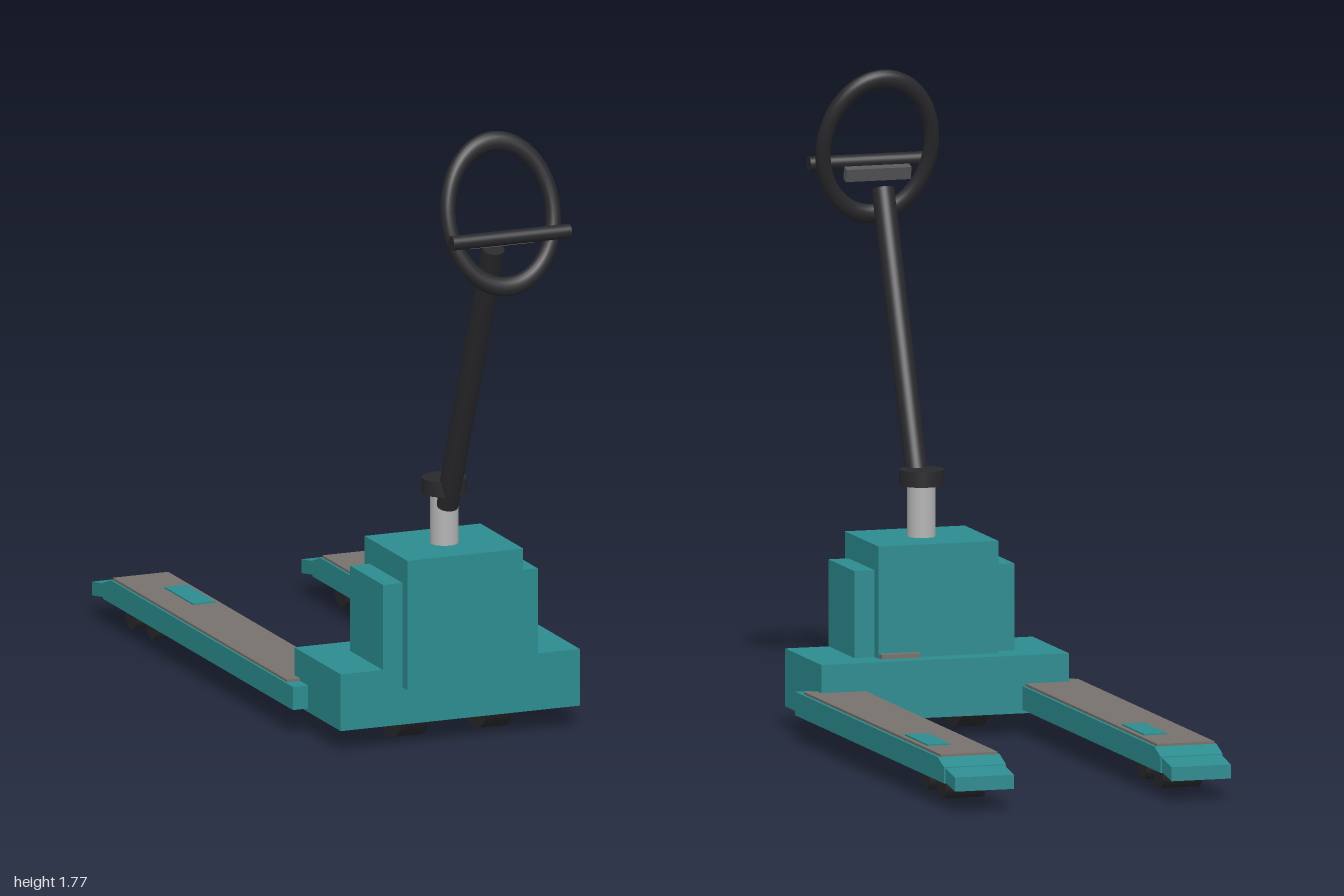
import * as THREE from 'three';

const paint = (color) => new THREE.MeshStandardMaterial({ color });
const TEAL = paint(0x2c8c8f), BLACK = paint(0x29292d), TREAD = paint(0x77726c);
const STEEL = paint(0xb4b4b4), DARK_GREY = paint(0x58585c);

export function createModel() {
  const model = new THREE.Group();
  model.name = 'palletTruck';

  const add = (name, geometry, material, parent = model) => {
    const mesh = new THREE.Mesh(geometry, material);
    mesh.name = name;
    parent.add(mesh);
    return mesh;
  };
  // Box given by its limits on each axis
  const box = (name, [x0, x1], [y0, y1], [z0, z1], material, parent) => {
    const mesh = add(name, new THREE.BoxGeometry(x1 - x0, y1 - y0, z1 - z0), material, parent);
    mesh.position.set((x0 + x1) / 2, (y0 + y1) / 2, (z0 + z1) / 2);
    return mesh;
  };
  // Cylinder between two points
  const rod = (name, a, b, radius, material, parent) => {
    const from = new THREE.Vector3(...a), to = new THREE.Vector3(...b);
    const axis = to.clone().sub(from);
    const mesh = add(name, new THREE.CylinderGeometry(radius, radius, axis.length(), 32), material, parent);
    mesh.position.copy(from).add(to).multiplyScalar(0.5);
    mesh.quaternion.setFromUnitVectors(new THREE.Vector3(0, 1, 0), axis.normalize());
    return mesh;
  };
  // Side outline of [z, y] points, extruded across x
  const slab = (name, outline, width, parent) => {
    const shape = new THREE.Shape(outline.map(([z, y]) => new THREE.Vector2(-z, y)));
    const geometry = new THREE.ExtrudeGeometry(shape, { depth: width, bevelEnabled: false });
    geometry.translate(0, 0, -width / 2).rotateY(Math.PI / 2);
    return add(name, geometry, TEAL, parent);
  };

  // Body
  box('chassis', [-0.355, 0.355], [0.06, 0.22], [0.31, 0.632], TEAL);
  box('motorHousing', [-0.172, 0.172], [0.165, 0.53], [0.37, 0.667], TEAL);
  box('sideCover', [-0.23, 0.23], [0.2, 0.46], [0.405, 0.634], TEAL);
  box('footPedal', [0.06, 0.17], [0.222, 0.234], [0.345, 0.375], TREAD);

  // Drive wheels
  for (const side of [-1, 1]) {
    rod('driveWheel', [side * 0.085, 0.109, 0.52], [side * 0.165, 0.109, 0.52], 0.109, BLACK);
  }

  // Forks with tread plates and load rollers
  for (const x of [-0.311, 0.311]) {
    const fork = new THREE.Group();
    fork.name = 'fork';
    fork.position.x = x;
    model.add(fork);
    slab('forkBeam', [[0.405, 0.07], [0.405, 0.135], [-0.86, 0.135], [-0.915, 0.115], [-0.915, 0.07]], 0.178, fork);
    slab('forkTip', [[-0.9, 0.076], [-0.9, 0.115], [-1, 0.098], [-1, 0.059]], 0.17, fork);
    box('treadPlate', [-0.083, 0.081], [0.13, 0.142], [-0.86, 0.35], TREAD, fork);
    box('forkInset', [0.001, 0.067], [0.13, 0.146], [-0.7, -0.5], TEAL, fork);
    rod('loadRoller', [-0.057, 0.053, -0.655], [0.057, 0.053, -0.655], 0.038, BLACK, fork);
    rod('loadRoller', [-0.057, 0.053, -0.795], [0.057, 0.053, -0.795], 0.043, BLACK, fork);
  }

  // Steering column and tiller
  rod('steeringColumn', [0, 0.5, 0.52], [0, 0.68, 0.52], 0.039, STEEL);
  rod('collar', [0, 0.672, 0.52], [0, 0.715, 0.52], 0.062, BLACK);
  rod('tiller', [0, 0.64, 0.54], [0, 1.44, 0.862], 0.031, BLACK);

  // Oval handle loop, tilted back, with crossbar and control panel
  const loop = add('handleLoop', new THREE.TorusGeometry(0.155, 0.021, 16, 64), BLACK);
  loop.scale.y = 1.29;
  loop.rotation.x = -0.262;
  loop.position.set(0, 1.55, 0.912);
  rod('crossbar', [-0.175, 1.5, 0.98], [0.175, 1.5, 0.98], 0.02, BLACK);
  const panel = box('controlPanel', [-0.093, 0.093], [1.459, 1.495], [0.898, 0.922], DARK_GREY);
  panel.rotation.x = -0.262;

  return model;
}
